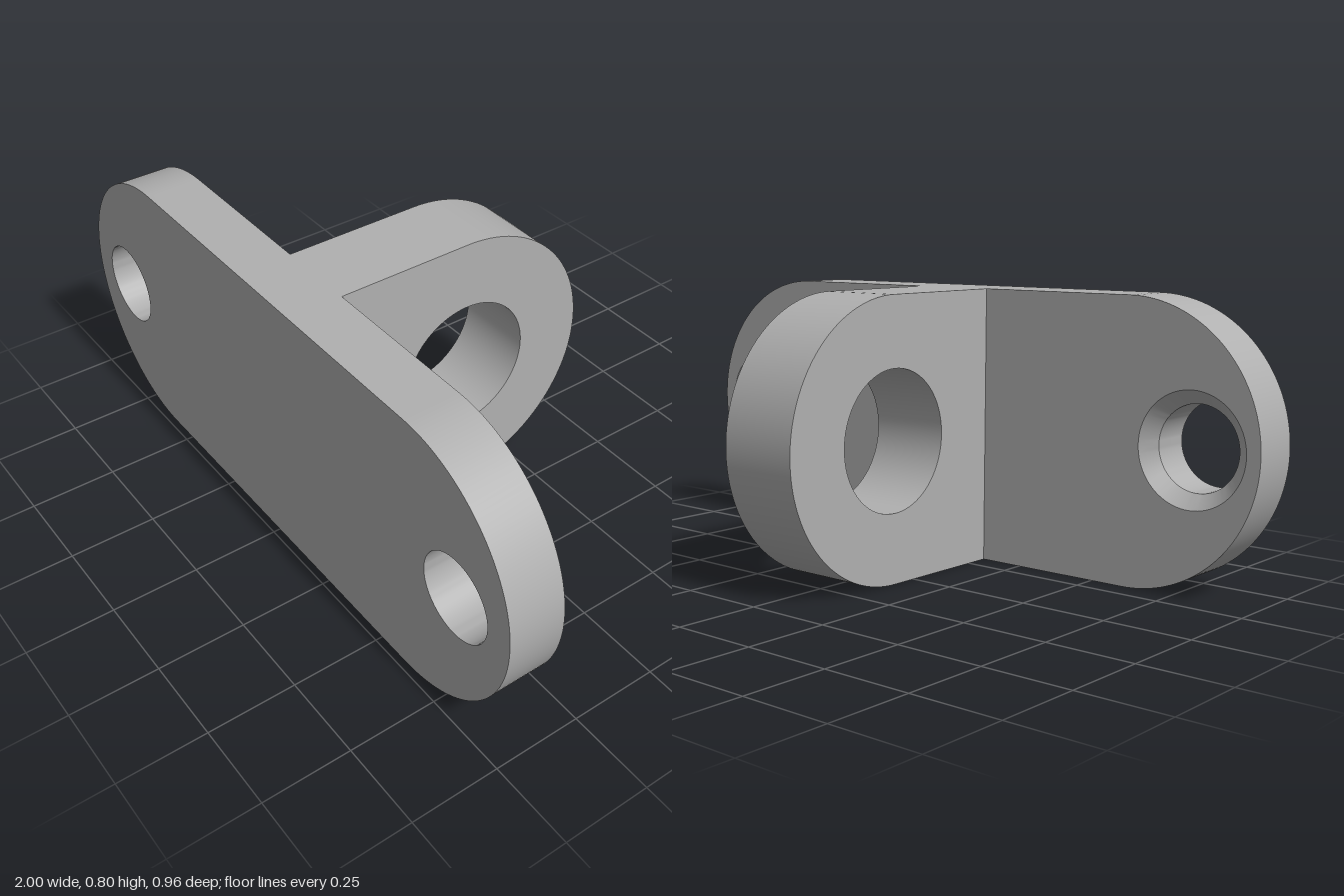
import * as THREE from 'three';
import { toCreasedNormals } from 'three/addons/utils/BufferGeometryUtils.js';

const SEG = 40, H = 0.8, R = 0.4;          // arc segments, height, end radius
const FRONT = 0.48, BACK = 0.32;           // z of the plate faces
const BORE = 0.12, SINK = 0.16, SINK_DEPTH = 0.04;
const HOLE_X = 0.8;

const metal = new THREE.MeshStandardMaterial({ color: 0xb0b0b0, side: THREE.DoubleSide });
metal.name = 'grey metal';

function part(name, geometry) {
  const mesh = new THREE.Mesh(geometry, metal);
  mesh.name = name;
  return mesh;
}

function circle(x, y, r) {
  return new THREE.Path().absarc(x, y, r, 0, Math.PI * 2, true);
}

// Rounded plate outline with screw holes of the given radius
function plateShape(holeRadius) {
  const s = new THREE.Shape();
  s.absarc(1 - R, R, R, -Math.PI / 2, Math.PI / 2, false);
  s.absarc(R - 1, R, R, Math.PI / 2, Math.PI * 1.5, false);
  s.closePath();
  if (holeRadius) for (const x of [-HOLE_X, HOLE_X]) s.holes.push(circle(x, R, holeRadius));
  return s;
}

// Side walls of an extruded shape, without its caps
function walls(shape, depth) {
  const solid = new THREE.ExtrudeGeometry(shape, { depth, bevelEnabled: false, curveSegments: SEG });
  const { start, count } = solid.groups[1];
  const g = new THREE.BufferGeometry();
  g.setAttribute('position', new THREE.BufferAttribute(
    solid.attributes.position.array.slice(start * 3, (start + count) * 3), 3));
  return toCreasedNormals(g, 0.5);
}

export function createModel() {
  const model = new THREE.Group();
  model.name = 'mountingBracket';

  // Base plate: front face, back face with wider openings, and rim
  const plate = new THREE.Group();
  plate.name = 'basePlate';
  const front = new THREE.ShapeGeometry(plateShape(BORE), SEG).translate(0, 0, FRONT);
  const back = new THREE.ShapeGeometry(plateShape(SINK), SEG).rotateY(Math.PI).translate(0, 0, BACK);
  const rim = walls(plateShape(0), FRONT - BACK).translate(0, 0, BACK);
  plate.add(part('plateFront', front), part('plateBack', back), part('plateRim', rim));

  // Screw holes, countersunk from the back
  const profile = [[BORE, FRONT], [BORE, BACK + SINK_DEPTH], [SINK, BACK]]
    .map(([r, z]) => new THREE.Vector2(r, z));
  for (const [side, x] of [['right', -HOLE_X], ['left', HOLE_X]]) {
    const hole = toCreasedNormals(new THREE.LatheGeometry(profile, SEG * 2), 0.5);
    hole.rotateX(Math.PI / 2).translate(x, R, 0);
    plate.add(part(side + 'ScrewHole', hole));
  }
  model.add(plate);

  // Lug with a round end and eye, drawn in profile with x pointing backwards
  const lug = new THREE.Shape();
  lug.moveTo(-BACK, H);
  lug.lineTo(-BACK, 0);
  lug.absarc(0.08, R, R, -Math.PI / 2, Math.PI / 2, false);
  lug.closePath();
  lug.holes.push(circle(0.08, R, 0.2));
  const lugGeometry = toCreasedNormals(
    new THREE.ExtrudeGeometry(lug, { depth: 0.24, bevelEnabled: false, curveSegments: SEG }), 0.5);
  lugGeometry.translate(0, 0, -0.12).rotateY(Math.PI / 2);
  model.add(part('lug', lugGeometry));

  return model;
}
